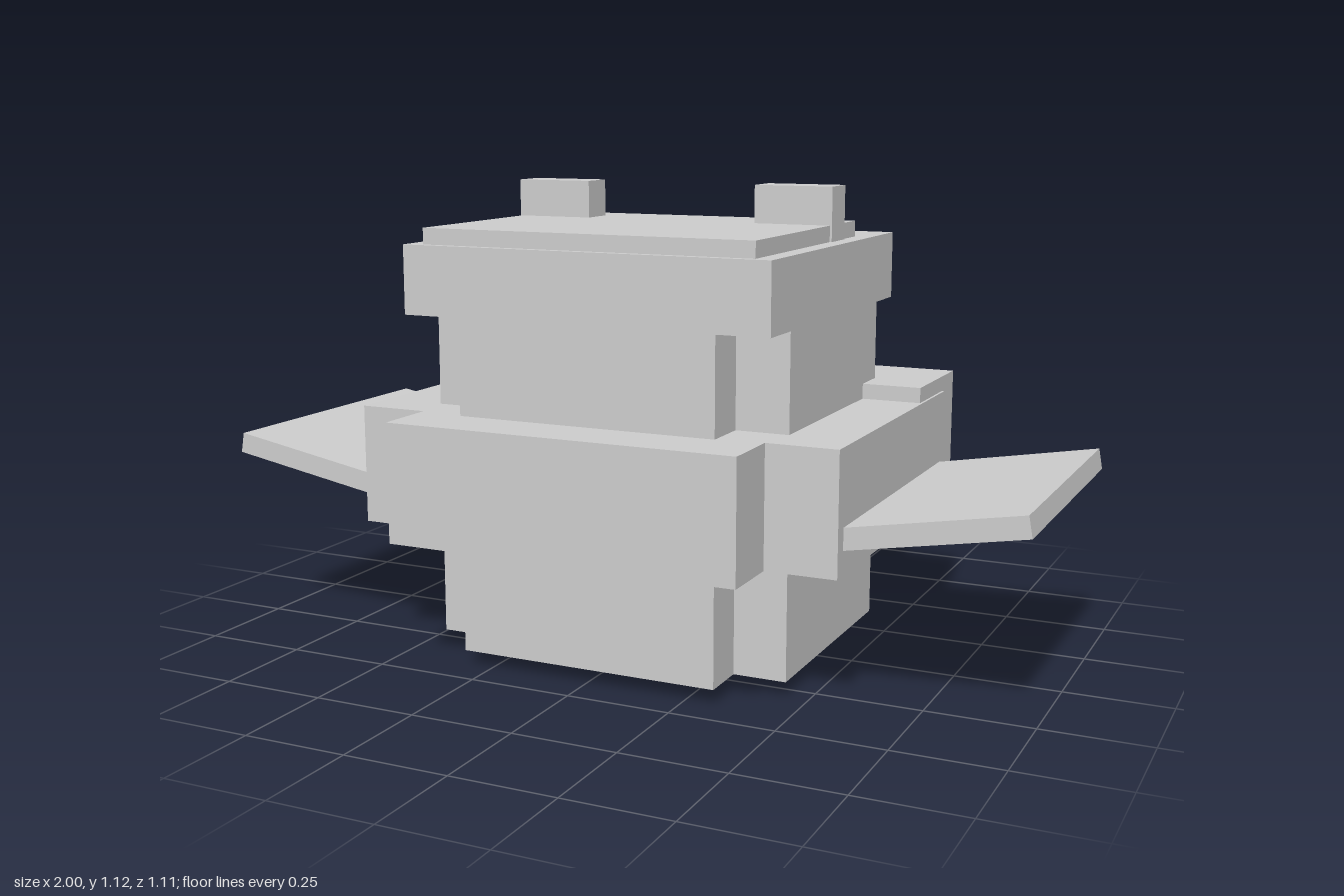
import * as THREE from 'three';

export function createModel() {
  const model = new THREE.Group();
  model.name = 'blockyWingedFigure';
  const grey = new THREE.MeshStandardMaterial({ color: 0xcccccc });
  grey.name = 'light grey';

  // Box given by its min and max on each axis
  function block(name, [x0, x1], [y0, y1], [z0, z1]) {
    const mesh = new THREE.Mesh(new THREE.BoxGeometry(x1 - x0, y1 - y0, z1 - z0), grey);
    mesh.position.set((x0 + x1) / 2, (y0 + y1) / 2, (z0 + z1) / 2);
    mesh.name = name;
    model.add(mesh);
    return mesh;
  }
  const centred = (name, half, y, z) => block(name, [-half, half], y, z);
  function pair(name, [x0, x1], y, z) {
    block(name + 'Left', [x0, x1], y, z);
    block(name + 'Right', [-x1, -x0], y, z);
  }

  // Cross-shaped body
  centred('bodyDeep', 0.32, [0.035, 0.88], [-0.405, 0.415]);
  centred('bodyWide', 0.447, [0.035, 0.84], [-0.29, 0.30]);

  // Cross-shaped band around the waist
  centred('bandDeep', 0.43, [0.317, 0.6], [-0.545, 0.555]);
  centred('bandWide', 0.598, [0.317, 0.6], [-0.39, 0.40]);
  pair('shoulderBlock', [0.36, 0.592], [0.37, 0.637], [-0.485, -0.197]);

  // Lid with a raised plate and ears
  centred('lid', 0.453, [0.83, 0.992], [-0.388, 0.432]);
  centred('lidPlate', 0.41, [0.98, 1.03], [-0.222, 0.414]);
  pair('ear', [0.221, 0.415], [0.98, 1.12], [-0.131, -0.042]);
  pair('earKnob', [0.265, 0.372], [1.03, 1.077], [-0.159, -0.125]);

  // Face plate with nose and eyes
  centred('facePlate', 0.358, [0.163, 0.66], [-0.541, -0.452]);
  centred('nose', 0.045, [0.65, 0.683], [-0.532, -0.496]);
  pair('eye', [0.182, 0.292], [0.682, 0.816], [-0.541, -0.487]);
  pair('pupil', [0.198, 0.243], [0.756, 0.803], [-0.553, -0.535]);

  // Feet
  pair('foot', [0.182, 0.36], [0, 0.09], [-0.532, -0.278]);

  // Upward-tilted wings
  for (const side of [1, -1]) {
    const wing = new THREE.Mesh(new THREE.BoxGeometry(0.45, 0.05, 0.726), grey);
    wing.position.set(side * 0.774, 0.43, 0.003);
    wing.rotation.z = side * THREE.MathUtils.degToRad(10);
    wing.name = side > 0 ? 'wingLeft' : 'wingRight';
    model.add(wing);
  }
  return model;
}
